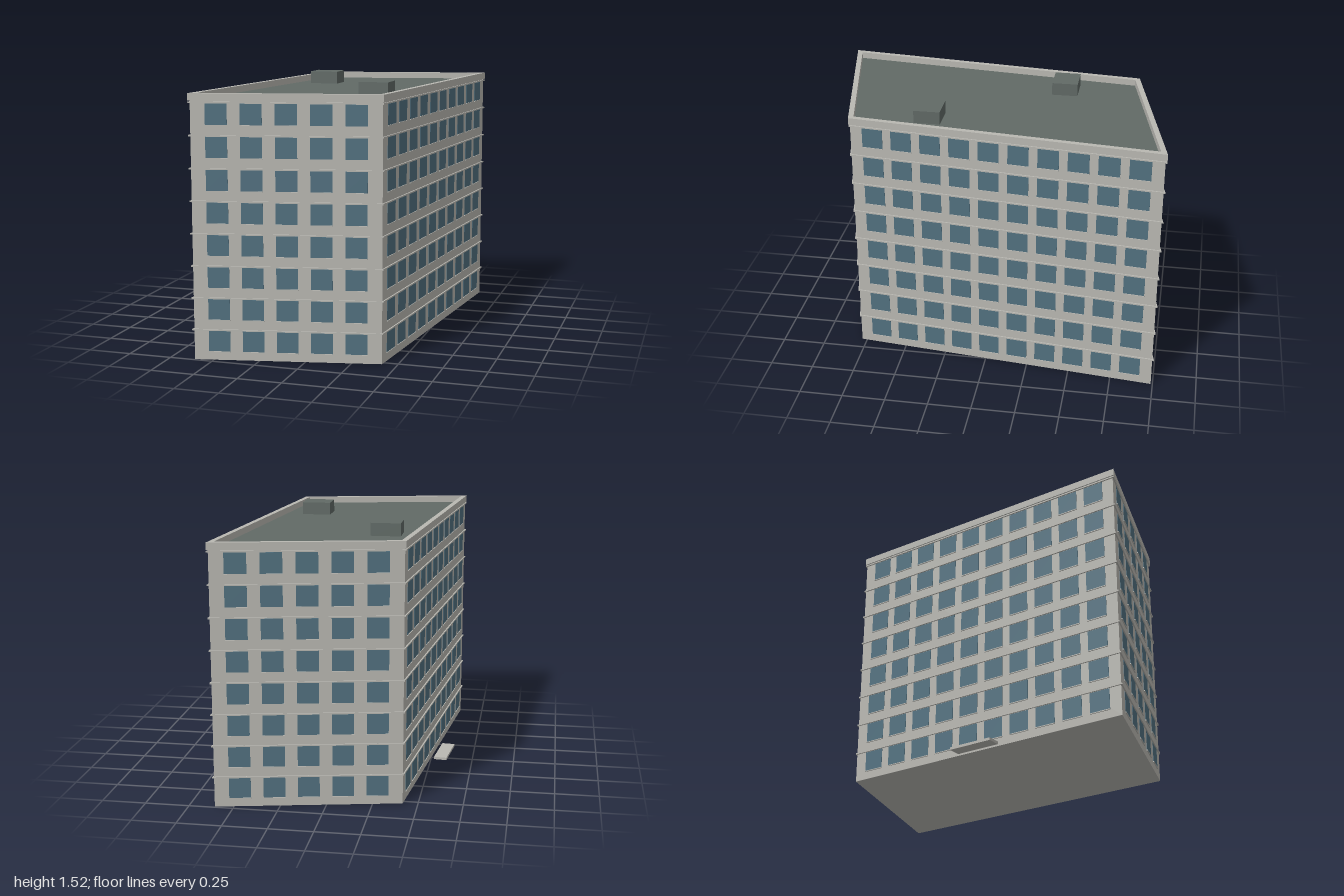
import * as THREE from 'three';
import { mergeGeometries } from 'three/addons/utils/BufferGeometryUtils.js';

const FLOORS = 8, STOREY = 0.18, ROOF_Y = 1.44, TOP_Y = 1.48;

// Skewed plan: two edge directions and half lengths
const U = new THREE.Vector2(1.02, -0.21), V = new THREE.Vector2(-0.19, 1.77);
const u = U.clone().normalize(), v = V.clone().normalize();
const skew = u.cross(v);

// Plan corners, pushed outwards by d
function corners(d) {
  const a = U.length() / 2 + d / skew, b = V.length() / 2 + d / skew;
  return [[1, 1], [1, -1], [-1, -1], [-1, 1]].map(([s, t]) =>
    new THREE.Vector2(s * a * u.x + t * b * v.x, -(s * a * u.y + t * b * v.y)));
}

// Upright slab on the plan, hollow if an inner offset is given
function slab(d, y0, y1, inner) {
  const shape = new THREE.Shape(corners(d));
  if (inner !== undefined) shape.holes.push(new THREE.Path(corners(inner)));
  const g = new THREE.ExtrudeGeometry(shape, { depth: y1 - y0, bevelEnabled: false });
  return g.rotateX(-Math.PI / 2).translate(0, y0, 0);
}

export function createModel() {
  const wall = new THREE.MeshStandardMaterial({ name: 'concrete', color: 0xb9b8b2 });
  const glass = new THREE.MeshStandardMaterial({ name: 'window glass', color: 0x527180 });
  const roof = new THREE.MeshStandardMaterial({ name: 'roof felt', color: 0x616a66 });

  const model = new THREE.Group();
  model.name = 'apartmentBlock';
  const add = (name, geometry, material, parent = model) => {
    const mesh = new THREE.Mesh(geometry, material);
    mesh.name = name;
    parent.add(mesh);
    return mesh;
  };

  // Main body, roof and parapet
  add('walls', slab(0, 0, ROOF_Y), wall);
  add('roofDeck', slab(-0.02, ROOF_Y - 0.005, ROOF_Y + 0.003), roof);
  add('parapet', slab(0.008, ROOF_Y, TOP_Y, -0.022), wall);

  // Ledge above each storey
  for (let i = 0; i < FLOORS; i++) {
    const y = 0.167 + i * STOREY;
    add('floorLedge', slab(0.008, y, y + 0.008, -0.01), wall);
  }

  // Grid of panes and sills on one wall; dir runs to the right seen from outside
  function facade(name, mid, dir, count, pitch) {
    const panes = [], sills = [];
    for (let f = 0; f < FLOORS; f++) {
      for (let c = 0; c < count; c++) {
        const x = (c - (count - 1) / 2) * pitch, y = 0.1075 + f * STOREY;
        panes.push(new THREE.BoxGeometry(0.12, 0.115, 0.004).translate(x, y, 0));
        sills.push(new THREE.BoxGeometry(0.122, 0.005, 0.012).translate(x, y - 0.06, 0));
      }
    }
    const g = new THREE.Group();
    g.name = name;
    g.position.set(mid.x, 0, mid.y);
    g.rotation.y = Math.atan2(-dir.y, dir.x);
    add('windowPanes', mergeGeometries(panes), glass, g);
    add('windowSills', mergeGeometries(sills), wall, g);
    model.add(g);
  }
  const scaled = (vec, s) => vec.clone().multiplyScalar(s);
  facade('frontWindows', scaled(V, 0.5), u, 5, 0.19);
  facade('backWindows', scaled(V, -0.5), scaled(u, -1), 5, 0.19);
  facade('rightWindows', scaled(U, 0.5), scaled(v, -1), 10, 0.169);
  facade('leftWindows', scaled(U, -0.5), v, 10, 0.169);

  // Rooftop plant boxes
  for (const [x, z] of [[-0.265, -0.363], [0.26, 0.355]]) {
    add('roofBox', new THREE.BoxGeometry(0.17, 0.08, 0.15), roof).position.set(x, 1.476, z);
  }

  // Entrance step beside the long wall
  const step = add('entranceStep', new THREE.BoxGeometry(0.265, 0.015, 0.077), wall);
  step.position.set(-0.571, 0.0075, 0.098);
  step.rotation.y = Math.atan2(-v.y, v.x);

  return model;
}
